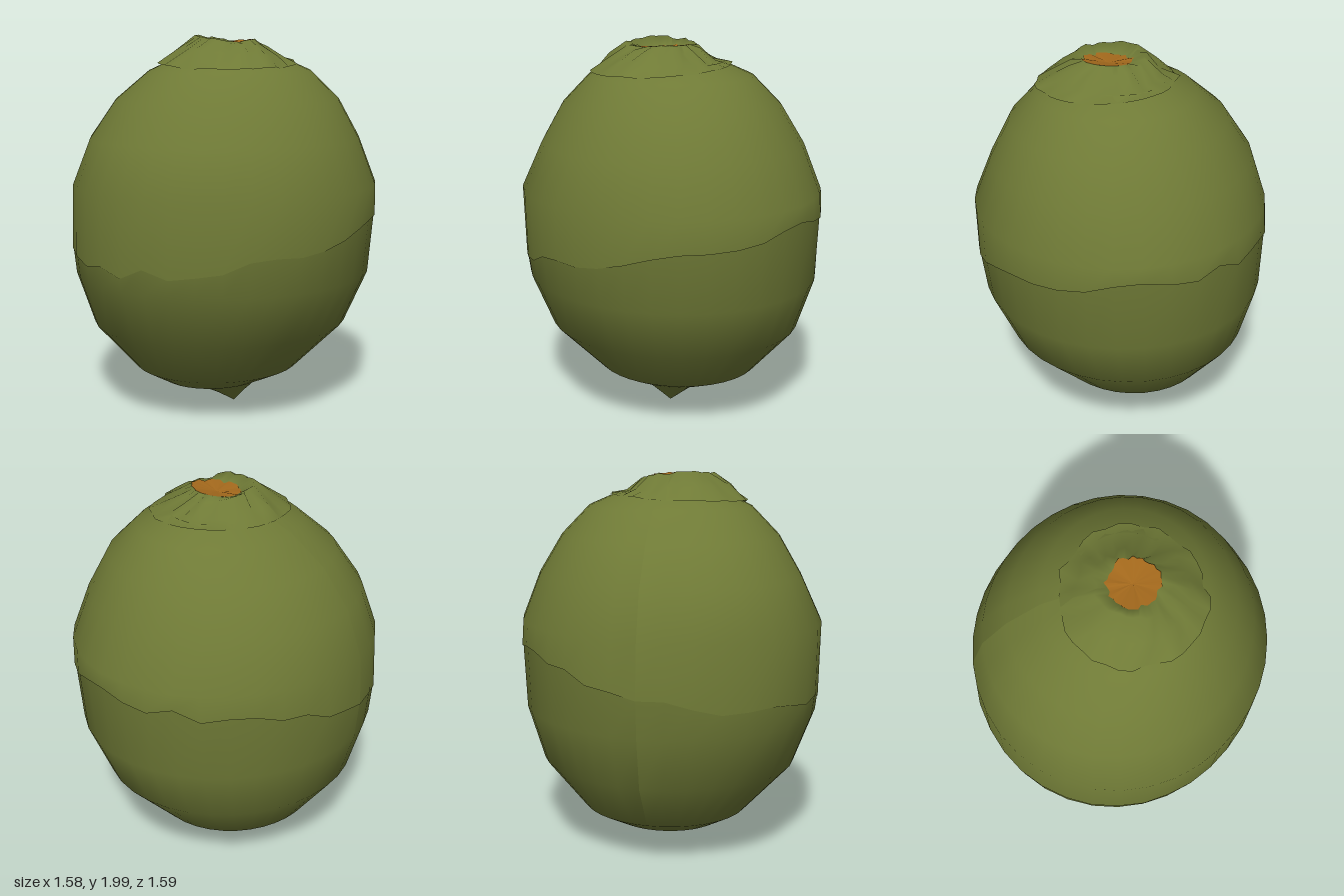
import * as THREE from 'three';

const SEG = 36;

// body cross-sections: y, xMin, xMax, zMin, zMax
const SECTIONS = [
  [0.085, -0.13, 0.10, -0.12, 0.12],
  [0.13, -0.34, 0.20, -0.30, 0.28],
  [0.21, -0.49, 0.37, -0.46, 0.42],
  [0.47, -0.69, 0.63, -0.68, 0.67],
  [0.75, -0.77, 0.755, -0.77, 0.78],
  [0.98, -0.79, 0.785, -0.795, 0.81],
  [1.22, -0.77, 0.785, -0.78, 0.80],
  [1.46, -0.69, 0.695, -0.685, 0.69],
  [1.66, -0.55, 0.59, -0.565, 0.575],
  [1.81, -0.37, 0.44, -0.42, 0.43],
  [1.88, -0.22, 0.29, -0.26, 0.28],
];
const MIDDLE = 5; // section replaced by the crack

// repeatable noise in -1..1
const noise = (i, k) => {
  const s = Math.sin((i % SEG) * 12.9898 + k * 78.233) * 43758.5453;
  return 2 * (s - Math.floor(s)) - 1;
};

// angle 0 starts at the upright join on the -x side
const angle = (i) => Math.PI * 1.06 + (i / SEG) * Math.PI * 2;

// point on the body surface at height y, slightly wider across one diagonal
function bodyPoint(a, y, out = 0) {
  let k = 0;
  while (k < SECTIONS.length - 2 && y > SECTIONS[k + 1][0]) k++;
  const p = SECTIONS[k], q = SECTIONS[k + 1];
  const t = (y - p[0]) / (q[0] - p[0]);
  const [, x0, x1, z0, z1] = p.map((v, n) => v + (q[n] - v) * t);
  const oval = 1 - 0.03 * Math.sin(2 * a);
  return new THREE.Vector3(
    (x0 + x1) / 2 + Math.cos(a) * ((x1 - x0) / 2 + out) * oval, y,
    (z0 + z1) / 2 + Math.sin(a) * ((z1 - z0) / 2 + out) * oval);
}

// surface through rows of points, rows running upward (or inward)
function loft(rows, point) {
  const pos = [], idx = [];
  for (let r = 0; r < rows; r++)
    for (let i = 0; i <= SEG; i++) pos.push(...point(r, i).toArray());
  for (let r = 0; r < rows - 1; r++)
    for (let i = 0; i < SEG; i++) {
      const a = r * (SEG + 1) + i, b = a + SEG + 1;
      idx.push(a, b, a + 1, a + 1, b, b + 1);
    }
  const g = new THREE.BufferGeometry();
  g.setAttribute('position', new THREE.Float32BufferAttribute(pos, 3));
  g.setIndex(idx);
  g.computeVertexNormals();
  return g;
}

// surface of tilted rings; each ring is [radius, y, tilt along x, tilt along z, jag, centre x, centre z]
const rings = (list, seed) => loft(list.length, (r, i) => {
  const a = angle(i), [radius, y, tiltX, tiltZ, jag, cx, cz] = list[r];
  const j = jag * noise(i, seed + r);
  return new THREE.Vector3(
    cx + Math.cos(a) * (radius + j),
    y + tiltX * Math.cos(a) + tiltZ * Math.sin(a) + j * 0.4,
    cz + Math.sin(a) * (radius + j));
});

// tilted, ragged crack round the middle
const crack = (i) => {
  const a = angle(i);
  return 0.985 - 0.13 * Math.sin(a) + 0.05 * Math.cos(a) + 0.03 * noise(i, 3);
};

export function createModel() {
  const model = new THREE.Group();
  const skin = new THREE.MeshStandardMaterial({ color: 0x6f7a36, side: THREE.DoubleSide });
  skin.name = 'olive skin';
  const scar = new THREE.MeshStandardMaterial({ color: 0xa4691c, side: THREE.DoubleSide });
  scar.name = 'orange scar';
  const add = (name, geometry, material) => {
    const mesh = new THREE.Mesh(geometry, material);
    mesh.name = name;
    model.add(mesh);
  };

  // lower shell, tucked just under the upper one
  add('lowerShell', loft(MIDDLE + 1, (r, i) =>
    bodyPoint(angle(i), r < MIDDLE ? SECTIONS[r][0] : crack(i) + 0.02)), skin);

  // upper shell, its open end hidden under the cap
  add('upperShell', loft(SECTIONS.length - MIDDLE, (r, i) =>
    bodyPoint(angle(i), r === 0 ? crack(i) : SECTIONS[r + MIDDLE][0], 0.004)), skin);

  // cap: ragged skirt rising to an uneven rim, then dipping inside
  add('stemCap', rings([
    [0.355, 1.848, -0.01, -0.018, 0.018, 0.05, 0.055],
    [0.27, 1.9, -0.015, 0.015, 0.012, 0.055, 0.045],
    [0.18, 1.96, -0.028, 0.015, 0.018, 0.055, 0.045],
    [0.12, 1.955, 0.012, -0.008, 0.012, 0.06, 0.035],
  ], 5), skin);

  // shallow orange dish meeting the inner edge of the cap
  add('stemScar', rings([
    [0.125, 1.957, 0.012, -0.008, 0.012, 0.06, 0.035],
    [0, 1.942, 0, 0, 0, 0.06, 0.035],
  ], 8), scar);

  // pointed tip underneath, with a ragged collar
  add('bottomTip', rings([
    [0, 0, 0, 0, 0, 0.06, 0.005],
    [0.08, 0.056, 0.01, 0, 0, 0.04, 0],
    [0.16, 0.106, 0.022, 0, 0.016, 0.02, 0],
  ], 9), skin);

  return model;
}
